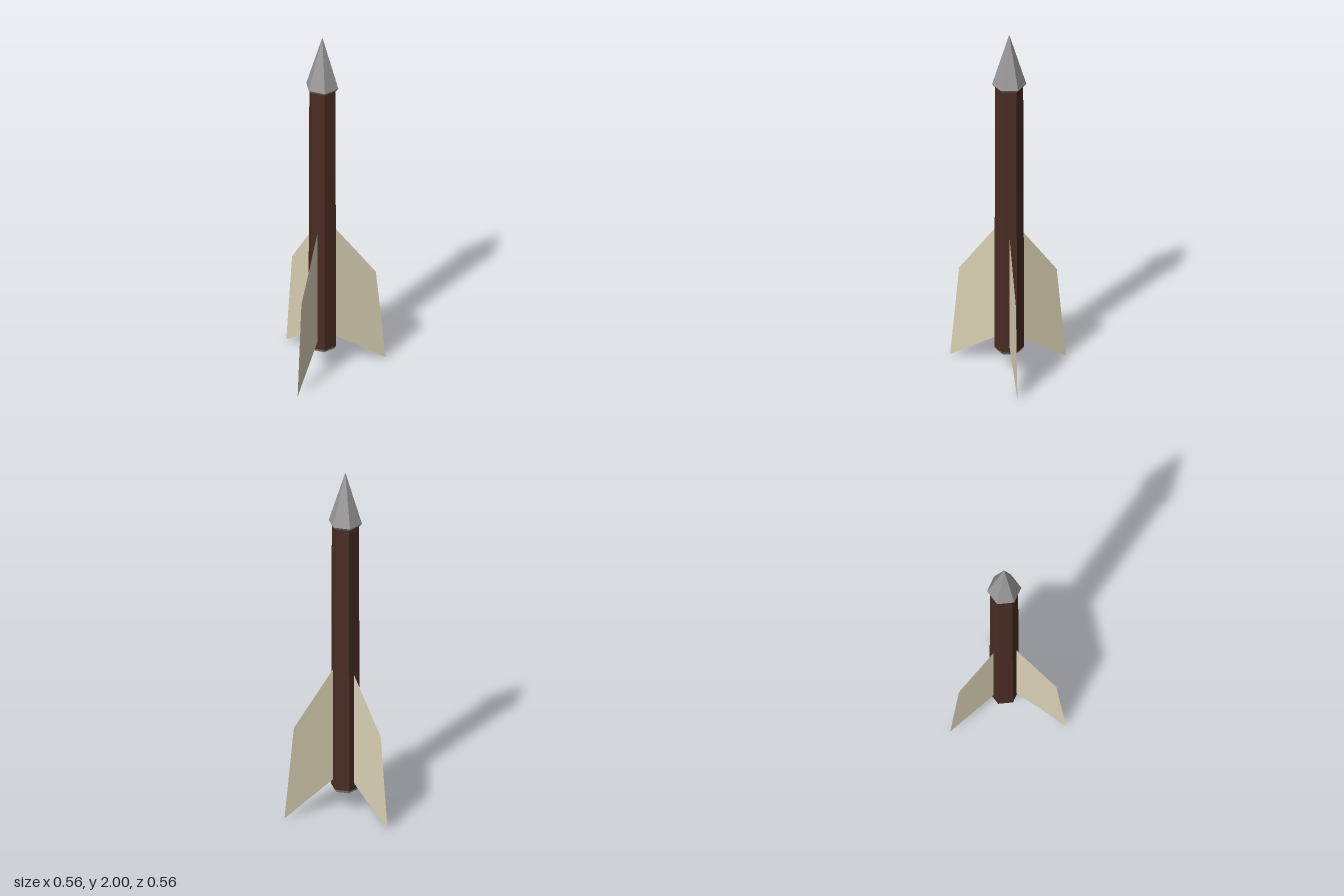
import * as THREE from 'three';

const CENTER_Z = -0.075;

export function createModel() {
  const model = new THREE.Group();
  const flat = (name, color, extra = {}) => {
    const m = new THREE.MeshStandardMaterial({ color, ...extra });
    m.name = name;
    return m;
  };
  const steel = flat('steel', 0x999797, { flatShading: true });
  const wood = flat('darkWood', 0x4a2d23, { flatShading: true });
  const cream = flat('creamFin', 0xd9d0b3, { side: THREE.DoubleSide });

  // Hexagonal section between two heights, with corners on the x axis
  const hexPart = (name, rTop, rBottom, yTop, yBottom, material, open = false) => {
    const geometry = new THREE.CylinderGeometry(rTop, rBottom, yTop - yBottom, 6, 1, open, Math.PI / 6);
    const mesh = new THREE.Mesh(geometry, material);
    mesh.name = name;
    mesh.position.set(0, (yTop + yBottom) / 2, CENTER_Z);
    model.add(mesh);
  };

  // Shaft with a pointed head and a bevelled end cap
  hexPart('head', 0, 0.091, 2, 1.705, steel, true);
  hexPart('headCollar', 0.091, 0.078, 1.705, 1.69, steel);
  hexPart('shaft', 0.074, 0.079, 1.69, 0.135, wood, true);
  hexPart('endCap', 0.079, 0.068, 0.135, 0.118, steel);

  // Three thin swept fins; the profile runs outward along x
  const profile = [[0, 0.18], [0.284, 0], [0.23, 0.53], [0, 0.84]];
  const fin = new THREE.ShapeGeometry(
    new THREE.Shape(profile.map(([x, y]) => new THREE.Vector2(x, y))));
  const fins = [
    ['frontFin', 0, -0.003, 0, 0.281],
    ['leftFin', 0.055, -0.105, 0.28, -0.278],
    ['rightFin', -0.044, -0.104, -0.28, -0.264],
  ];
  for (const [name, x0, z0, x1, z1] of fins) {
    const mesh = new THREE.Mesh(fin, cream);
    mesh.name = name;
    mesh.position.set(x0, 0, z0);
    mesh.rotation.y = Math.atan2(z0 - z1, x1 - x0);
    model.add(mesh);
  }
  return model;
}
